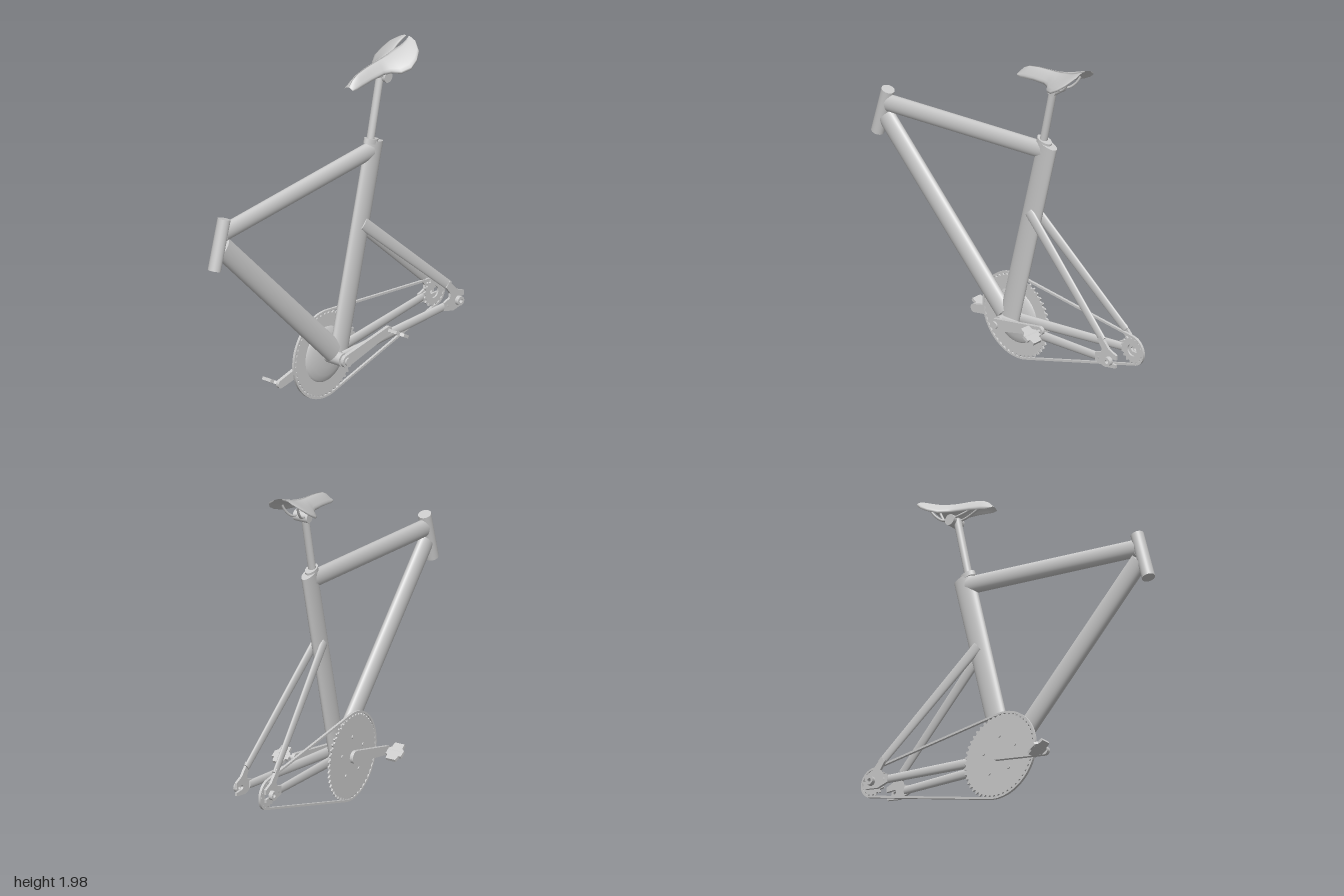
import * as THREE from 'three';

const V = (x, y, z) => new THREE.Vector3(x, y, z);
const material = new THREE.MeshStandardMaterial({ color: 0xcccccc });
const thinMaterial = new THREE.MeshStandardMaterial({ color: 0xcccccc, side: THREE.DoubleSide });

function add(parent, name, geometry, mat = material) {
  const mesh = new THREE.Mesh(geometry, mat);
  mesh.name = name;
  parent.add(mesh);
  return mesh;
}

// Oval tube from a to b: rx is the half width across, ry the half depth in the frame plane
function oval(a, b, rx, ry, taper = 1, sides = 32) {
  const y = b.clone().sub(a);
  const g = new THREE.CylinderGeometry(taper, 1, y.length(), sides);
  g.scale(rx, 1, ry);
  y.normalize();
  const x = V(1, 0, 0).addScaledVector(y, -y.x).normalize();
  const m = new THREE.Matrix4().makeBasis(x, y, x.clone().cross(y));
  return g.applyMatrix4(m.setPosition(a.clone().add(b).multiplyScalar(0.5)));
}

// Cylinder along x
const pin = (r, x0, x1, y, z, sides = 24) =>
  new THREE.CylinderGeometry(r, r, Math.abs(x1 - x0), sides)
    .rotateZ(-Math.PI / 2).translate((x0 + x1) / 2, y, z);

// Side-on plate: shape u runs backwards, v upwards; centred on x
const plate = (shape, x, depth) =>
  new THREE.ExtrudeGeometry(shape, { depth, bevelEnabled: false, curveSegments: 24 })
    .translate(0, 0, -depth / 2).rotateY(Math.PI / 2).translate(x, 0, 0);

// Outline of a belt round two circles
function belt(a, ra, b, rb, n = 40) {
  const phi = Math.atan2(b[1] - a[1], b[0] - a[0]);
  const t = Math.acos((ra - rb) / Math.hypot(b[0] - a[0], b[1] - a[1]));
  const pts = [];
  const arc = (c, r, from, to) => {
    for (let i = 0; i <= n; i++) {
      const q = from + (to - from) * i / n;
      pts.push(new THREE.Vector2(c[0] + r * Math.cos(q), c[1] + r * Math.sin(q)));
    }
  };
  arc(a, ra, phi + t, phi - t + 2 * Math.PI);
  arc(b, rb, phi - t, phi + t);
  return pts;
}

// Toothed wheel outline
function gear([u, v], root, tip, teeth, hole) {
  const pts = [];
  for (let i = 0; i < teeth; i++) {
    [[0, root], [0.3, root], [0.5, tip], [0.75, tip]].forEach(([f, r]) => {
      const q = (i + f) / teeth * 2 * Math.PI;
      pts.push(new THREE.Vector2(u + r * Math.cos(q), v + r * Math.sin(q)));
    });
  }
  const s = new THREE.Shape(pts);
  if (hole) s.holes.push(new THREE.Path().absarc(u, v, hole, 0, 2 * Math.PI, true));
  return s;
}

// One half of the saddle shell; rows are [z, half width, ridge y, edge y, slot half width, thickness]
function saddleHalf() {
  const rows = [
    [-0.13, 0.03, 1.822, 1.808, 0, 0.004], [-0.16, 0.035, 1.853, 1.815, 0, 0.012],
    [-0.2, 0.038, 1.876, 1.825, 0, 0.014], [-0.27, 0.043, 1.893, 1.838, 0, 0.014],
    [-0.36, 0.052, 1.906, 1.85, 0, 0.014], [-0.4, 0.07, 1.912, 1.852, 0, 0.014],
    [-0.44, 0.108, 1.92, 1.847, 0, 0.014], [-0.49, 0.135, 1.933, 1.865, 0, 0.014],
    [-0.54, 0.13, 1.95, 1.895, 0.013, 0.014], [-0.58, 0.11, 1.967, 1.928, 0.015, 0.012],
    [-0.61, 0.06, 1.98, 1.962, 0.01, 0.005]];
  const n = 8, ring = 2 * (n + 1), pos = [], idx = [];
  rows.forEach(([z, w, yc, ye, slot, th], k) => {
    for (let j = 0; j < ring; j++) {
      const under = j > n, t = (under ? ring - 1 - j : j) / n;
      pos.push(slot + (w - slot) * t, yc - (yc - ye) * t ** 1.5 - (under ? th : 0), z);
      if (k < rows.length - 1) {
        const a = k * ring + j, b = k * ring + (j + 1) % ring;
        idx.push(a, b, a + ring, b, b + ring, a + ring);
      }
    }
  });
  const g = new THREE.BufferGeometry();
  g.setAttribute('position', new THREE.Float32BufferAttribute(pos, 3));
  g.setIndex(idx);
  g.computeVertexNormals();
  return g;
}

export function createModel() {
  const bike = new THREE.Group();
  bike.name = 'bicycleFrame';
  const hub = [0.02, 0.257], rear = [0.91, 0.355];

  // Main triangle
  add(bike, 'headTube', oval(V(0, 1.067, 0.968), V(0, 1.348, 0.888), 0.036, 0.038));
  add(bike, 'topTube', oval(V(0, 1.267, 0.89), V(0, 1.395, -0.31), 0.032, 0.052));
  add(bike, 'downTube', oval(V(0, 1.185, 0.905), V(0, 0.3, -0.005), 0.034, 0.064));
  add(bike, 'seatTube', oval(V(0, 0.29, -0.048), V(0, 1.443, -0.338), 0.031, 0.067));
  add(bike, 'bottomBracket', pin(0.038, -0.06, 0.06, hub[1], -hub[0]));
  add(bike, 'crankAxle', pin(0.022, -0.11, 0.1, hub[1], -hub[0]));

  // Seat post and clamp
  add(bike, 'seatCollar', oval(V(0, 1.435, -0.307), V(0, 1.463, -0.314), 0.03, 0.05));
  add(bike, 'seatPost', oval(V(0, 1.43, -0.3), V(0, 1.81, -0.385), 0.022, 0.022));
  add(bike, 'postHead', pin(0.032, -0.045, 0.045, 1.807, -0.405));

  // Stays, rear ends and axle nuts
  const rearEnd = new THREE.Shape([
    [0.80, 0.322], [0.87, 0.305], [0.955, 0.322], [0.955, 0.342], [0.9, 0.342], [0.888, 0.355],
    [0.9, 0.37], [0.96, 0.372], [0.96, 0.4], [0.905, 0.42], [0.865, 0.46], [0.845, 0.485],
    [0.815, 0.455], [0.85, 0.41], [0.845, 0.385], [0.8, 0.37]
  ].map(p => new THREE.Vector2(...p)));
  const saddle = new THREE.Group();
  saddle.name = 'saddle';
  bike.add(saddle);
  for (const s of [1, -1]) {
    const side = s > 0 ? 'left' : 'right';
    add(bike, side + 'SeatStay', oval(V(s * 0.025, 0.995, -0.22), V(s * 0.09, 0.455, -0.85), 0.014, 0.036, 0.75, 20));
    add(bike, side + 'ChainStay', oval(V(s * 0.04, 0.268, -0.03), V(s * 0.09, 0.346, -0.83), 0.016, 0.032, 0.75, 20));
    add(bike, side + 'RearEnd', plate(rearEnd, s * 0.094, 0.014));
    add(bike, side + 'AxleNut', plate(gear(rear, 0.026, 0.026, 6, 0.012), s * 0.112, 0.024));

    // Saddle shell half and its rail
    const half = add(saddle, side + 'SaddleShell', saddleHalf(), thinMaterial);
    half.scale.x = s;
    const rail = new THREE.CatmullRomCurve3([
      V(s * 0.012, 1.855, -0.22), V(s * 0.02, 1.835, -0.29), V(s * 0.026, 1.822, -0.35),
      V(s * 0.028, 1.822, -0.46), V(s * 0.04, 1.86, -0.51), V(s * 0.05, 1.915, -0.545)]);
    add(saddle, side + 'SaddleRail', new THREE.TubeGeometry(rail, 30, 0.007, 8));
  }

  // Drivetrain
  add(bike, 'chainring', plate(gear(hub, 0.234, 0.249, 48), -0.08, 0.01));
  const dome = [[0.16, 0], [0.15, 0.008], [0.12, 0.018], [0.07, 0.026], [0, 0.029]];
  add(bike, 'chainringDome', new THREE.LatheGeometry(dome.map(p => new THREE.Vector2(...p)), 48)
    .rotateZ(-Math.PI / 2).translate(-0.075, hub[1], -hub[0]));
  for (let i = 0; i < 5; i++) {
    const q = i / 5 * 2 * Math.PI + 0.3;
    add(bike, 'chainringBolt', pin(0.01, -0.091, -0.08, hub[1] + 0.115 * Math.sin(q), -hub[0] + 0.115 * Math.cos(q), 12));
  }
  add(bike, 'sprocket', plate(gear(rear, 0.07, 0.083, 16, 0.035), -0.08, 0.01));
  const chain = new THREE.Shape(belt(hub, 0.256, rear, 0.088));
  chain.holes.push(new THREE.Path(belt(hub, 0.244, rear, 0.076).reverse()));
  add(bike, 'chain', plate(chain, -0.08, 0.014));

  // Cranks and pedals, half a turn apart
  const outline = [[0.03, -0.06], [0.035, -0.03], [0.05, -0.03], [0.05, 0.01], [0.032, 0.025], [0.03, 0.055]];
  const pedalShape = new THREE.Shape([
    ...outline, ...outline.map(([x, z]) => [-x, z]).reverse()
  ].map(p => new THREE.Vector2(...p)));
  for (const s of [1, -1]) {
    const side = s > 0 ? 'left' : 'right';
    const end = [hub[0] + s * 0.34, hub[1] + s * 0.081];
    const x = s > 0 ? 0.08 : -0.1;
    add(bike, side + 'Crank', plate(new THREE.Shape(belt(hub, 0.036, end, 0.024, 14)), x, 0.02));
    add(bike, side + 'PedalAxle', pin(0.01, x, s * 0.2, end[1], -end[0], 12));
    const pedal = add(bike, side + 'Pedal', new THREE.ExtrudeGeometry(pedalShape, { depth: 0.018, bevelEnabled: false })
      .translate(0, 0, -0.009).rotateX(Math.PI / 2).scale(1, 1, s));
    if (s < 0) pedal.geometry = new THREE.ExtrudeGeometry(pedalShape, { depth: 0.018, bevelEnabled: false })
      .translate(0, 0, -0.009).rotateX(Math.PI / 2);
    else pedal.geometry = pedal.geometry.scale(1, 1, 1).clone();
    pedal.rotation.x = -0.5;
    pedal.position.set(s * 0.157, end[1], -end[0]);
  }
  return bike;
}
